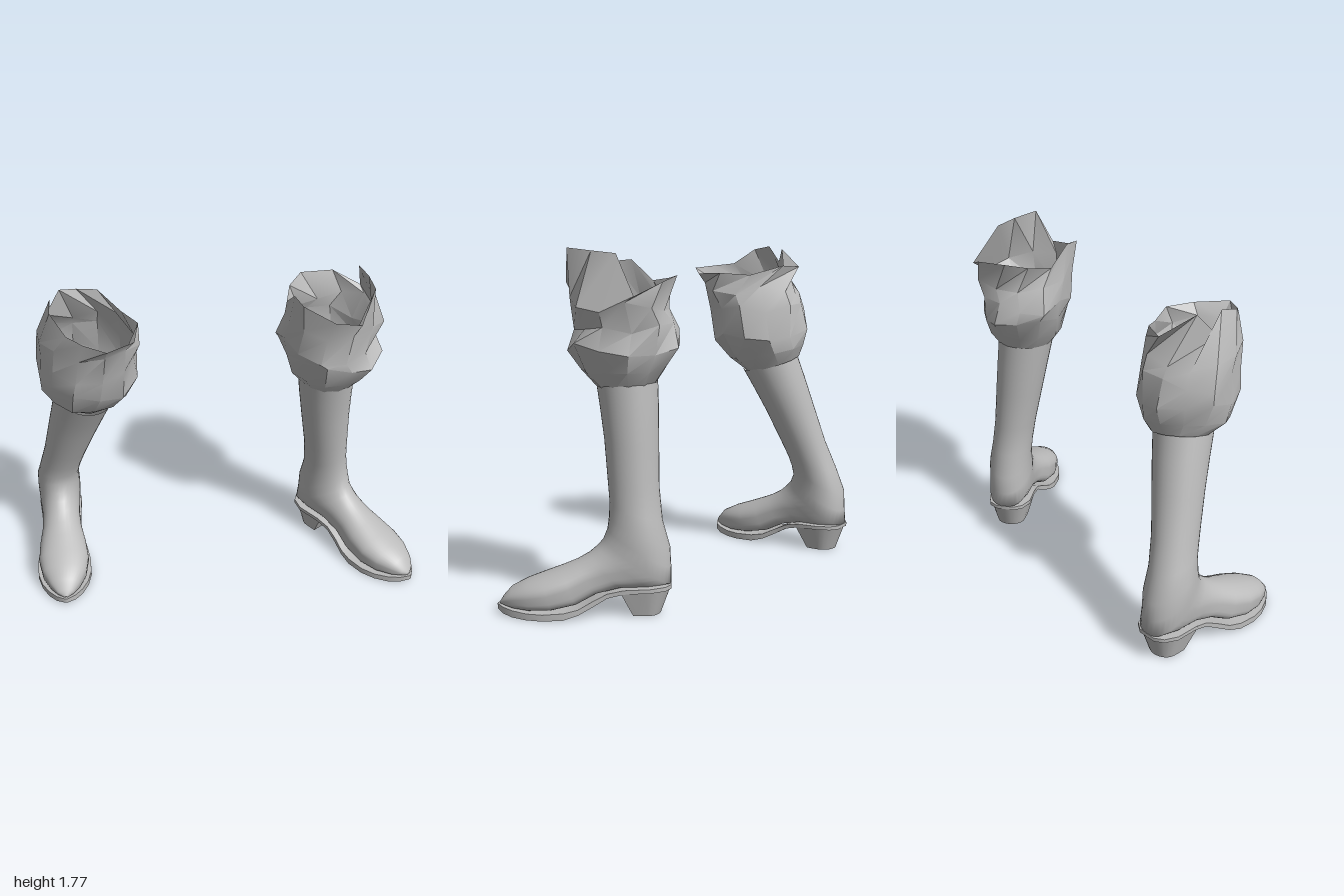
import * as THREE from 'three';
import { toCreasedNormals } from 'three/addons/utils/BufferGeometryUtils.js';

const grey = new THREE.MeshStandardMaterial({ color: 0xbbbbbb, side: THREE.DoubleSide });
grey.name = 'plain grey';

// Skin a list of closed rings of [x, y, z] points; optional caps close the ends.
function loft(rings, crease, capped = false) {
  const n = rings[0].length, pos = rings.flat(2), index = [];
  for (let i = 0; i < rings.length - 1; i++) {
    for (let j = 0; j < n; j++) {
      const a = i * n + j, b = i * n + (j + 1) % n;
      index.push(a, b, b + n, a, b + n, a + n);
    }
  }
  if (capped) {
    const last = (rings.length - 1) * n;
    for (let j = 1; j < n - 1; j++) index.push(0, j + 1, j, last, last + j, last + j + 1);
  }
  const geo = new THREE.BufferGeometry();
  geo.setAttribute('position', new THREE.Float32BufferAttribute(pos, 3));
  geo.setIndex(index);
  if (crease) return toCreasedNormals(geo, crease);
  geo.computeVertexNormals();
  return geo;
}

function part(name, geo) {
  const mesh = new THREE.Mesh(geo, grey);
  mesh.name = name;
  return mesh;
}

// Boot sections from toe to shaft top: front z, front y, back z, back y, half width, squareness below
const BOOT = [
  [.838, .055, .838, .045, .005, 1], [.82, .085, .815, .045, .045, 1],
  [.78, .13, .77, .035, .08, 1], [.70, .17, .69, .03, .12, 1],
  [.62, .20, .58, .035, .138, 1], [.53, .235, .46, .06, .128, 1],
  [.46, .265, .36, .11, .11, .9], [.40, .30, .24, .135, .105, .7],
  [.36, .335, .10, .135, .112, .6], [.33, .37, 0, .15, .118, .4],
  [.31, .42, 0, .23, .12, 0], [.30, .48, .005, .33, .117, 0],
  [.295, .55, .04, .46, .112, 0], [.30, .65, .05, .62, .115, 0],
  [.31, .85, .045, .83, .13, 0], [.325, 1, .04, 1, .141, 0],
  [.34, 1.13, .04, 1.13, .15, 0],
];

// Sole stations: z, top y, bottom y, half width
const SOLE = [
  [0, .15, .13, .05], [.03, .15, .13, .095], [.1, .148, .128, .122], [.23, .14, .12, .112],
  [.31, .122, .1, .108], [.38, .088, .06, .118], [.45, .052, .024, .136], [.52, .038, .004, .148],
  [.62, .032, 0, .148], [.70, .032, 0, .128], [.77, .036, .002, .092], [.82, .042, .01, .052],
  [.85, .047, .02, .008],
];

function boot({ heel, turn, lean, tilt }) {
  const c = Math.cos(turn), s = Math.sin(turn), N = 32;
  // Turn the foot on the ground, then lean the shaft above the ankle
  const place = ([x, y, z]) => {
    const t = Math.max(0, (y - .42) / .71);
    const wx = x * c + z * s, wz = z * c - x * s;
    return [heel[0] + wx + lean[0] * t, y - t * (tilt * (wz - .18 * c) + lean[2]), heel[1] + wz + lean[1] * t];
  };
  const upper = BOOT.map(([zf, yf, zb, yb, w, q]) => Array.from({ length: N }, (_, j) => {
    const a = j / N * Math.PI * 2;
    let u = Math.cos(a), v = Math.sin(a);
    if (u < 0) {
      const e = 1 - .55 * q;
      u = -Math.pow(-u, e);
      v = Math.sign(v) * Math.pow(Math.abs(v), e);
    }
    return place([w * v, (yf + yb) / 2 + (yf - yb) / 2 * u, (zf + zb) / 2 + (zf - zb) / 2 * u]);
  }));
  const sole = SOLE.map(([z, t, b, w]) => [[w, b, z], [w, t, z], [-w, t, z], [-w, b, z]].map(place));
  // D-shaped heel block, flat at the front and tapering to the ground
  const heelRings = [[0, .05, .185, .078], [.135, 0, .25, .112]].map(([y, z0, z1, w]) => {
    const mid = z0 + (z1 - z0) * .5, ring = [[-w, y, z1], [w, y, z1]];
    for (let k = 0; k <= 12; k++) {
      const a = k / 12 * Math.PI;
      ring.push([w * Math.cos(a), y, mid - (mid - z0) * Math.sin(a)]);
    }
    return ring.map(place);
  });
  const g = new THREE.Group();
  g.add(part('bootUpper', loft(upper)), part('bootSole', loft(sole, .7, true)),
    part('bootHeel', loft(heelRings, .6, true)));
  return g;
}

// Baggy cloth over the boot: rings of y, x range, z range, tilt; a ragged rim on top
const RIPPLE = [0, .05, -.03, 0, .06, -.04, 0, .05, .02, 0, -.04, .06];
function trouser(rows, rim) {
  const rings = rows.map(([y, x0, x1, z0, z1, tilt], i) => rim.map((_, j) => {
    const a = j / rim.length * Math.PI * 2;
    const r = 1 + (i ? RIPPLE[(j + i * 3) % 12] : 0);
    const dz = (z1 - z0) / 2 * Math.cos(a) * r;
    const fold = i > 1 ? RIPPLE[(j * 5 + i) % 12] * .6 : 0;
    return [(x0 + x1) / 2 + (x1 - x0) / 2 * Math.sin(a) * r, y - tilt * dz + fold, (z0 + z1) / 2 + dz];
  }));
  return part('trouserCuff', loft([...rings, rim], .5));
}

export function createModel() {
  const model = new THREE.Group();
  model.name = 'boots';

  // Left leg, standing nearly upright
  const left = boot({ heel: [.67, .15], turn: -.118, lean: [-.1, .01, 0], tilt: 0 });
  left.name = 'leftLeg';
  left.add(trouser([
    [1.10, .415, .685, .22, .49, 0],
    [1.19, .35, .74, .16, .57, 0],
    [1.30, .31, .78, .09, .635, 0],
    [1.38, .29, .76, .09, .60, 0],
    [1.50, .285, .80, .14, .62, 0],
  ], [
    [.52, 1.77, .63], [.62, 1.76, .52], [.69, 1.75, .41], [.82, 1.56, .34], [.76, 1.62, .2], [.6, 1.64, .11],
    [.48, 1.62, .13], [.37, 1.6, .2], [.3, 1.7, .3], [.26, 1.69, .39], [.33, 1.62, .54], [.43, 1.6, .63],
  ]));

  // Right leg, turned outwards with the shaft leaning forwards
  const right = boot({ heel: [-.255, -.955], turn: -.735, lean: [-.005, .265, .045], tilt: .3 });
  right.name = 'rightLeg';
  right.add(trouser([
    [1.08, -.53, -.225, -.715, -.415, .3],
    [1.15, -.61, -.18, -.74, -.32, .2],
    [1.25, -.655, -.15, -.755, -.235, .1],
    [1.38, -.65, -.17, -.745, -.21, 0],
    [1.49, -.655, -.19, -.72, -.18, 0],
  ], [
    [-.4, 1.58, -.14], [-.27, 1.59, -.24], [-.23, 1.58, -.4], [-.215, 1.63, -.58], [-.27, 1.62, -.68],
    [-.44, 1.71, -.62], [-.54, 1.61, -.62], [-.55, 1.72, -.57], [-.62, 1.7, -.5], [-.63, 1.62, -.38],
    [-.62, 1.61, -.27], [-.58, 1.6, -.15],
  ]));

  model.add(left, right);
  return model;
}
